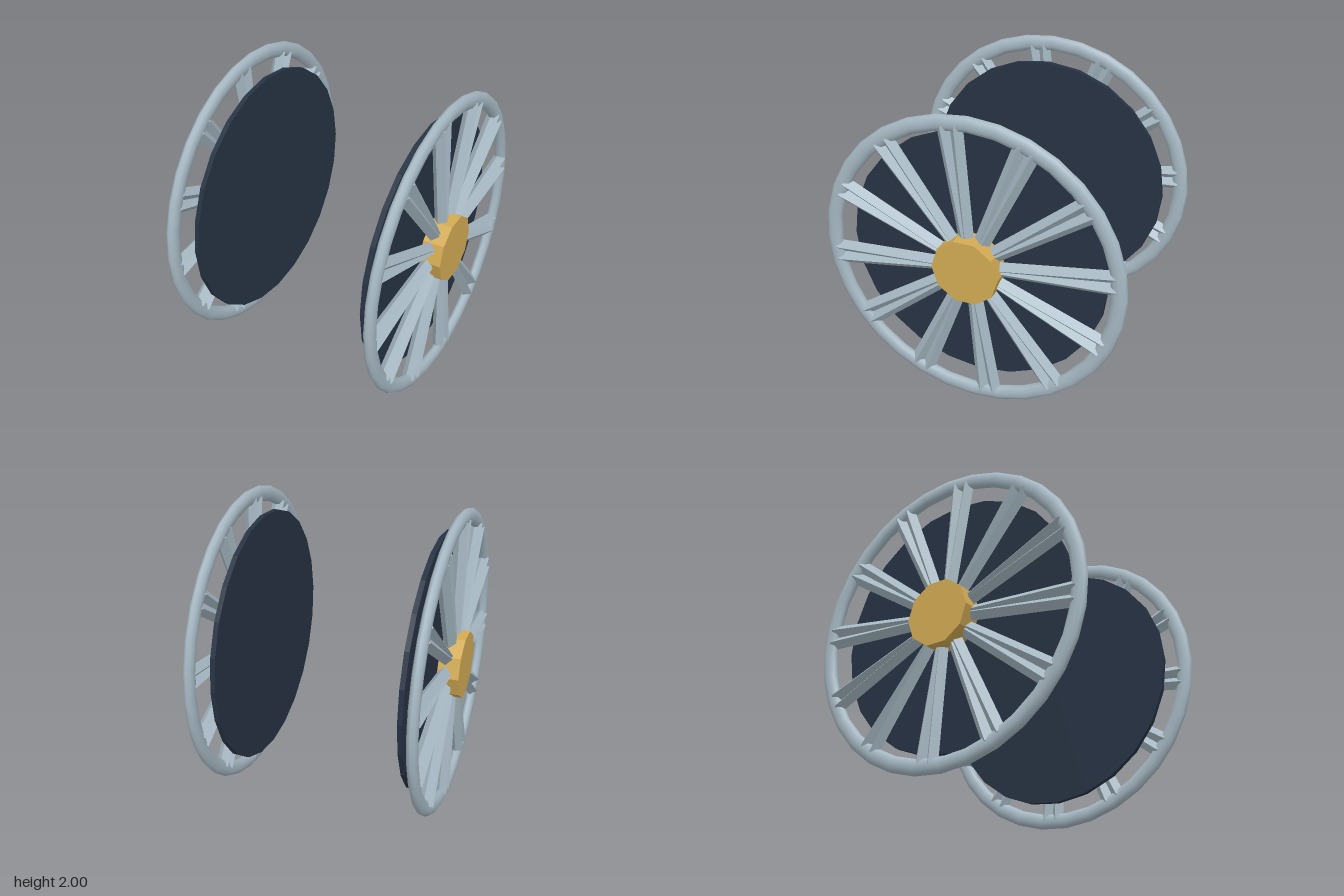
import * as THREE from 'three';

const steel = new THREE.MeshStandardMaterial({ color: 0xa6b8c3 });
steel.name = 'steel';
const brass = new THREE.MeshStandardMaterial({ color: 0xd2aa54 });
brass.name = 'brass';
const navy = new THREE.MeshStandardMaterial({ color: 0x263243 });
navy.name = 'navy';

const HUB_R = 0.22, RIM_R = 0.948, TUBE_R = 0.052;
const SPOKE_R = 0.042, SPOKE_IN = 0.12, SPOKE_OUT = 0.935;
const rad = THREE.MathUtils.degToRad;

function part(geometry, material, name) {
  const mesh = new THREE.Mesh(geometry, material);
  mesh.name = name;
  return mesh;
}

// Flat-sided cylinder lying along x
function axle(radius, length, sides, x) {
  const g = new THREE.CylinderGeometry(radius, radius, length, sides).toNonIndexed();
  g.rotateZ(-Math.PI / 2);
  g.translate(x, 0, 0);
  g.computeVertexNormals();
  return g;
}

function createWheel(side) {
  const wheel = new THREE.Group();
  wheel.name = side > 0 ? 'leftWheel' : 'rightWheel';

  // Rim, flattened along the axle
  const rim = new THREE.TorusGeometry(RIM_R, TUBE_R, 10, 32);
  rim.scale(1, 1, 0.66);
  rim.rotateY(Math.PI / 2);
  rim.translate(side * 0.698, 0, 0);
  wheel.add(part(rim, steel, 'rim'));

  // Twelve pairs of square spokes with a ridge facing outwards
  const spoke = new THREE.CylinderGeometry(SPOKE_R, SPOKE_R, SPOKE_OUT - SPOKE_IN, 4).toNonIndexed();
  spoke.computeVertexNormals();
  spoke.translate(0, (SPOKE_IN + SPOKE_OUT) / 2, 0);
  const spokes = new THREE.Group();
  spokes.name = 'spokes';
  for (let i = 0; i < 12; i++) {
    for (const offset of [-2.7, 2.7]) {
      const bar = part(spoke, steel, 'spoke');
      bar.position.x = side * 0.698;
      bar.rotation.x = rad(6.8 + i * 30 + offset);
      spokes.add(bar);
    }
  }
  wheel.add(spokes);

  // Ten-sided hub and the inner backing disc
  wheel.add(part(axle(HUB_R, 0.14, 10, side * 0.722), brass, 'hub'));
  wheel.add(part(axle(0.85, 0.032, 24, side * 0.594), navy, 'backingDisc'));
  return wheel;
}

export function createModel() {
  const model = new THREE.Group();
  model.name = 'wheelPair';
  for (const side of [1, -1]) model.add(createWheel(side));
  for (const wheel of model.children) wheel.position.y = 1;
  return model;
}
